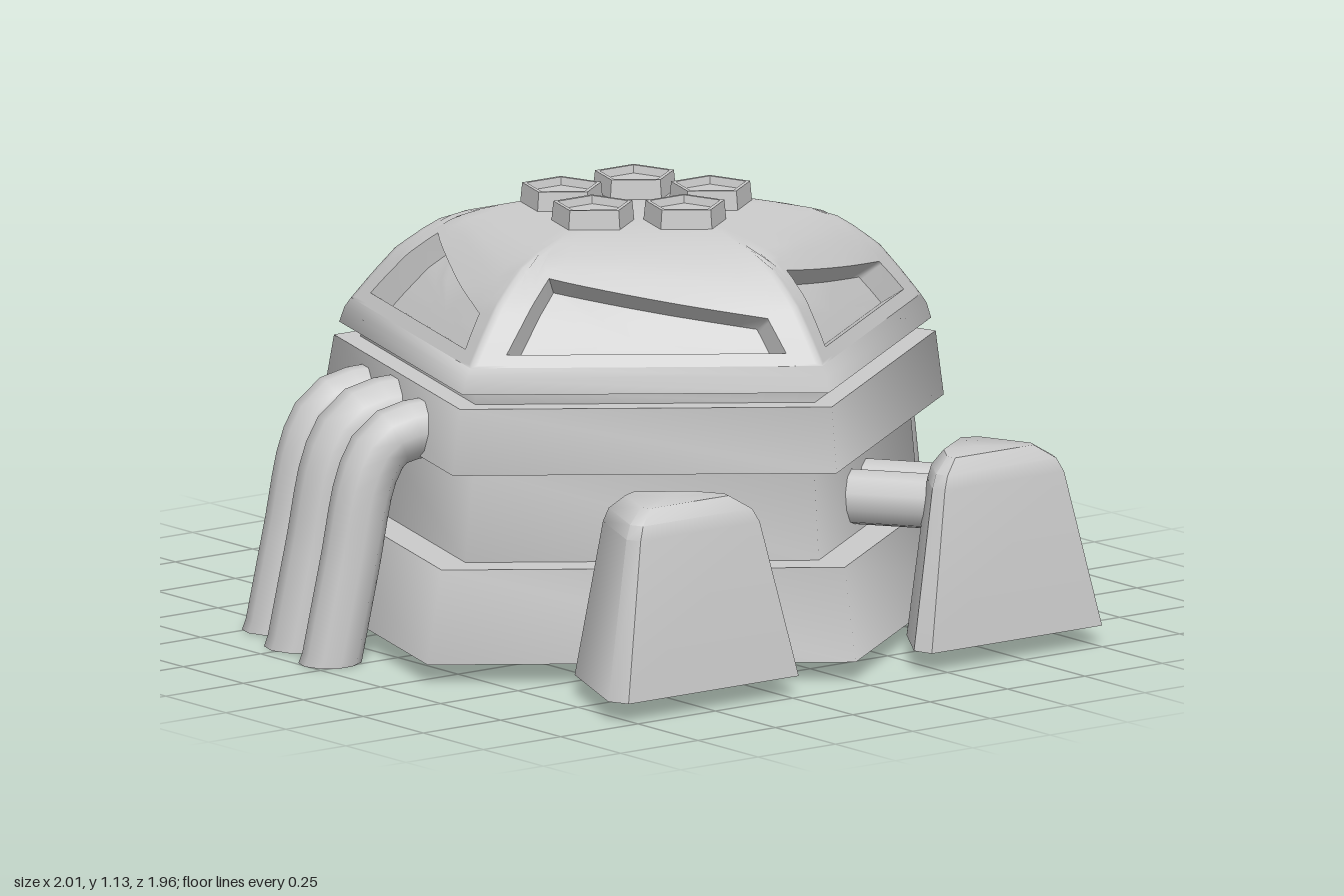
import * as THREE from 'three';
import { toCreasedNormals } from 'three/addons/utils/BufferGeometryUtils.js';

const grey = new THREE.MeshStandardMaterial({ color: 0xcccccc });
const DEG = Math.PI / 180;
const lerp = THREE.MathUtils.lerp;
// the pentagonal axis leans very slightly forward
const axisZ = (y) => 0.008 + 0.035 * y;

function mesh(name, geometry, parent) {
  const m = new THREE.Mesh(geometry, grey);
  m.name = name;
  parent.add(m);
  return m;
}

// Triangles between successive closed loops of points
function loft(rings, out = []) {
  for (let k = 0; k < rings.length - 1; k++) {
    const a = rings[k], b = rings[k + 1], n = a.length;
    for (let i = 0; i < n; i++) {
      const j = (i + 1) % n;
      out.push(a[i], a[j], b[j], a[i], b[j], b[i]);
    }
  }
  return out;
}

function solid(points, crease) {
  const g = new THREE.BufferGeometry().setFromPoints(points);
  g.computeVertexNormals();
  return toCreasedNormals(g, crease);
}

// Five-sided lathe from [radius, y] pairs
function pentagonLathe(profile) {
  return new THREE.LatheGeometry(profile.map(([r, y]) => new THREE.Vector2(r, y)), 5);
}

// Dome corner radius at a given height
const domeProfile = [[0.8, 0.765], [0.87, 0.71], [0.94, 0.65], [0.99, 0.585], [1.035, 0.515], [1.06, 0.42], [1.078, 0.335]];
function domeRadius(y) {
  let i = 0;
  while (i < domeProfile.length - 2 && y > domeProfile[i + 1][0]) i++;
  const [y0, r0] = domeProfile[i], [y1, r1] = domeProfile[i + 1];
  return lerp(r0, r1, (y - y0) / (y1 - y0));
}

// Point on one dome side; u runs -1..1 between its corners
function domePoint(u, y, azimuth, depth = 0) {
  const r = domeRadius(y);
  const a = r * Math.cos(36 * DEG) - depth * 0.8, t = u * r * Math.sin(36 * DEG);
  const s = Math.sin(azimuth), c = Math.cos(azimuth), py = y - depth * 0.6;
  return new THREE.Vector3(s * a + c * t, py, c * a - s * t + axisZ(y));
}

// Four-cornered loop with subdivided edges
function quadLoop(corners, n) {
  const loop = [];
  corners.forEach((p, e) => {
    const q = corners[(e + 1) % 4];
    for (let i = 0; i < n; i++) loop.push([lerp(p[0], q[0], i / n), lerp(p[1], q[1], i / n)]);
  });
  return loop;
}

// Five curved sides, each with a recessed slanting window, and the flat crown
function domeGeometry() {
  const n = 10, steps = 5, points = [];
  const border = quadLoop([[-1, 0.8], [1, 0.8], [1, 1.078], [-1, 1.078]], n);
  const opening = quadLoop([[-0.82, 0.83], [0.82, 0.83], [0.78, 0.91], [-0.74, 1.0]], n);
  const mid = [-0.05, 0.88];
  const shrink = (s) => opening.map(([u, y]) => [lerp(mid[0], u, s), lerp(mid[1], y, s)]);
  for (let side = 0; side < 5; side++) {
    const az = (36 + 72 * side) * DEG;
    const rings = [];
    for (let k = 0; k <= steps; k++) {
      rings.push(border.map((p, i) => domePoint(
        lerp(p[0], opening[i][0], k / steps), lerp(p[1], opening[i][1], k / steps), az)));
    }
    for (const s of [0.92, 0.5, 0]) rings.push(shrink(s).map(([u, y]) => domePoint(u, y, az, 0.06)));
    loft(rings, points);
    const crown = new THREE.Vector3(0, 1.078, axisZ(1.078));
    for (let i = 2 * n; i < 3 * n; i++) points.push(rings[0][i + 1], rings[0][i], crown);
  }
  return solid(points, 1.1);
}

// Stepped pentagonal body: hollow skirt, wall, band, neck and dome rim
function bodyGeometry() {
  const g = pentagonLathe([[0, 0.28], [0.868, 0.28], [0.924, 0.05], [0.93, 0.05], [0.876, 0.29], [0.768, 0.29],
    [0.74, 0.53], [0.834, 0.53], [0.808, 0.7], [0.738, 0.7], [0.738, 0.735], [0.795, 0.735], [0.782, 0.775], [0.765, 0.8]]);
  const p = g.attributes.position;
  for (let i = 0; i < p.count; i++) p.setZ(i, p.getZ(i) + axisZ(p.getY(i)));
  return toCreasedNormals(g, 1.29);
}

// Bent pipe leaving the wall and standing flat on the ground
function pipe(x, r, parent) {
  const path = new THREE.CatmullRomCurve3(
    [[0.52, 0.595], [0.67, 0.595], [0.75, 0.568], [0.8, 0.49], [0.85, 0.25], [0.908, -0.04]]
      .map(([z, y]) => new THREE.Vector3(x, y, z)));
  const g = new THREE.TubeGeometry(path, 16, r, 10);
  const p = g.attributes.position;
  for (let i = 0; i < p.count; i++) p.setY(i, Math.max(0, p.getY(i)));
  mesh('pipe', g, parent);
  const cap = mesh('pipeEnd', new THREE.CircleGeometry(r, 10), parent);
  cap.rotation.x = Math.PI / 2;
  cap.position.set(x, 0.001, 0.9);
}

// Tapered front pylon, its inner face turned to the wall, joined by two round struts
function pylon(side, parent) {
  const g = new THREE.Group();
  g.name = side > 0 ? 'leftPylon' : 'rightPylon';
  const outline = [[0.215, 0.98], [0.765, 0.98], [0.788, 0.925], [0.66, 0.62], [0.567, 0.577], [0.3, 0.765], [0.2, 0.925]];
  const ring = (scale, y) => {
    const pts = outline.map(([x, z]) => new THREE.Vector3(
      side * lerp(0.495, x, scale), y, lerp(0.8, z, scale)));
    return side > 0 ? pts : pts.reverse();
  };
  const rings = [ring(0, 0.05), ring(1, 0.05), ring(0.7, 0.455), ring(0.64, 0.49), ring(0.46, 0.525), ring(0, 0.525)];
  mesh('pylonBody', solid(loft(rings), 0.8), g);
  for (const offset of [-0.065, 0.065]) {
    const strut = new THREE.CylinderGeometry(0.072, 0.072, 0.32, 10);
    strut.rotateX(Math.PI / 2);
    strut.translate(offset - side * 0.058, 0.385, 0.69);
    strut.rotateY(side * 36 * DEG);
    mesh('strut', strut, g);
  }
  parent.add(g);
}

export function createModel() {
  const model = new THREE.Group();
  model.name = 'pentagonalBunker';
  mesh('body', bodyGeometry(), model);
  mesh('dome', domeGeometry(), model);

  // Ring of five shallow pentagonal cups on the crown
  const cup = toCreasedNormals(
    pentagonLathe([[0.112, 1.07], [0.106, 1.128], [0.094, 1.128], [0.088, 1.108], [0, 1.108]]), 0.5);
  for (let i = 0; i < 5; i++) {
    const a = i * 72 * DEG;
    mesh('crownCup', cup, model).position.set(0.2 * Math.sin(a), 0, 0.03 + 0.2 * Math.cos(a));
  }

  // Three pipes on the back and on each rear side
  for (const [name, az] of [['backPipes', 180], ['leftPipes', 108], ['rightPipes', -108]]) {
    const g = new THREE.Group();
    g.name = name;
    pipe(-0.213, 0.077, g);
    pipe(0, 0.093, g);
    pipe(0.213, 0.077, g);
    g.rotation.y = az * DEG;
    g.position.z = 0.018;
    model.add(g);
  }

  pylon(1, model);
  pylon(-1, model);
  return model;
}
